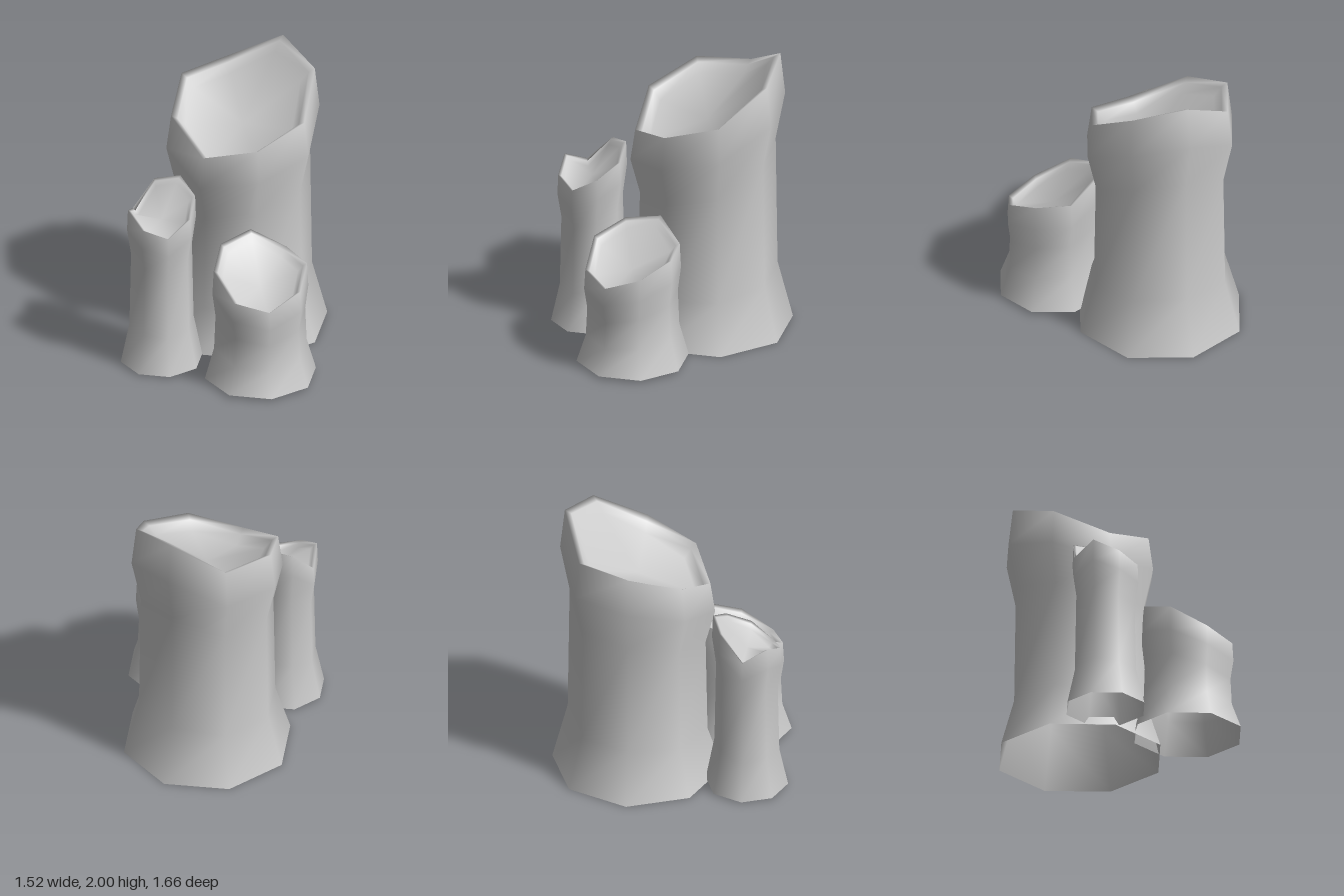
import * as THREE from 'three';

const SIDES = 8;

// One open-bottomed tube: stacked octagonal rings that follow an uneven rim,
// then fold over the lip into a shallow bowl.
// rim: heights going round from +z towards +x; rings: [radius, fraction of rim height]
function makeTube({ name, x, z, base, rim, rings }) {
  const pos = [];
  const index = [];
  const lip = rings[rings.length - 1][0];
  const addRing = (radius, heightAt) => {
    for (let i = 0; i < SIDES; i++) {
      const a = (i / SIDES) * Math.PI * 2;
      pos.push(Math.sin(a) * radius, heightAt(rim[i]), Math.cos(a) * radius);
    }
  };

  // Outer wall
  for (const [radius, f] of rings) addRing(radius, (h) => base + (h - base) * f);
  // Lip and bowl edge
  addRing(lip * 0.91, (h) => h - lip * 0.05);
  addRing(lip * 0.8, (h) => h - lip * 0.17);
  // Bowl centre
  const mean = rim.reduce((s, h) => s + h, 0) / SIDES;
  pos.push(0, mean - lip * 0.4, 0);

  const count = rings.length + 2;
  for (let r = 0; r < count - 1; r++) {
    for (let i = 0; i < SIDES; i++) {
      const j = (i + 1) % SIDES;
      const a = r * SIDES + i, b = r * SIDES + j;
      index.push(a, b, b + SIDES, a, b + SIDES, a + SIDES);
    }
  }
  const last = (count - 1) * SIDES;
  for (let i = 0; i < SIDES; i++) index.push(last + i, last + ((i + 1) % SIDES), count * SIDES);

  const geometry = new THREE.BufferGeometry();
  geometry.setAttribute('position', new THREE.Float32BufferAttribute(pos, 3));
  geometry.setIndex(index);
  geometry.computeVertexNormals();

  const mesh = new THREE.Mesh(
    geometry,
    new THREE.MeshStandardMaterial({ color: 0xcccccc, side: THREE.DoubleSide })
  );
  mesh.name = name;
  mesh.position.set(x, 0, z);
  return mesh;
}

export function createModel() {
  const group = new THREE.Group();
  group.name = 'tubeCluster';

  group.add(
    makeTube({
      name: 'tallTube', x: -0.17, z: -0.24, base: 0,
      rim: [1.49, 1.58, 1.69, 1.91, 2.0, 1.8, 1.78, 1.65],
      rings: [[0.592, 0], [0.485, 0.21], [0.472, 0.68], [0.538, 0.85], [0.505, 1]],
    }),
    makeTube({
      name: 'mediumTube', x: 0.37, z: 0.365, base: 0.02,
      rim: [0.71, 0.66, 0.75, 0.84, 0.86, 0.97, 0.93, 0.85],
      rings: [[0.39, 0], [0.325, 0.28], [0.315, 0.58], [0.337, 0.79], [0.328, 1]],
    }),
    makeTube({
      name: 'smallTube', x: -0.328, z: 0.54, base: 0.01,
      rim: [1.11, 1.06, 1.16, 1.25, 1.33, 1.29, 1.11, 1.19],
      rings: [[0.286, 0], [0.225, 0.25], [0.214, 0.71], [0.242, 0.87], [0.236, 1]],
    })
  );
  return group;
}
